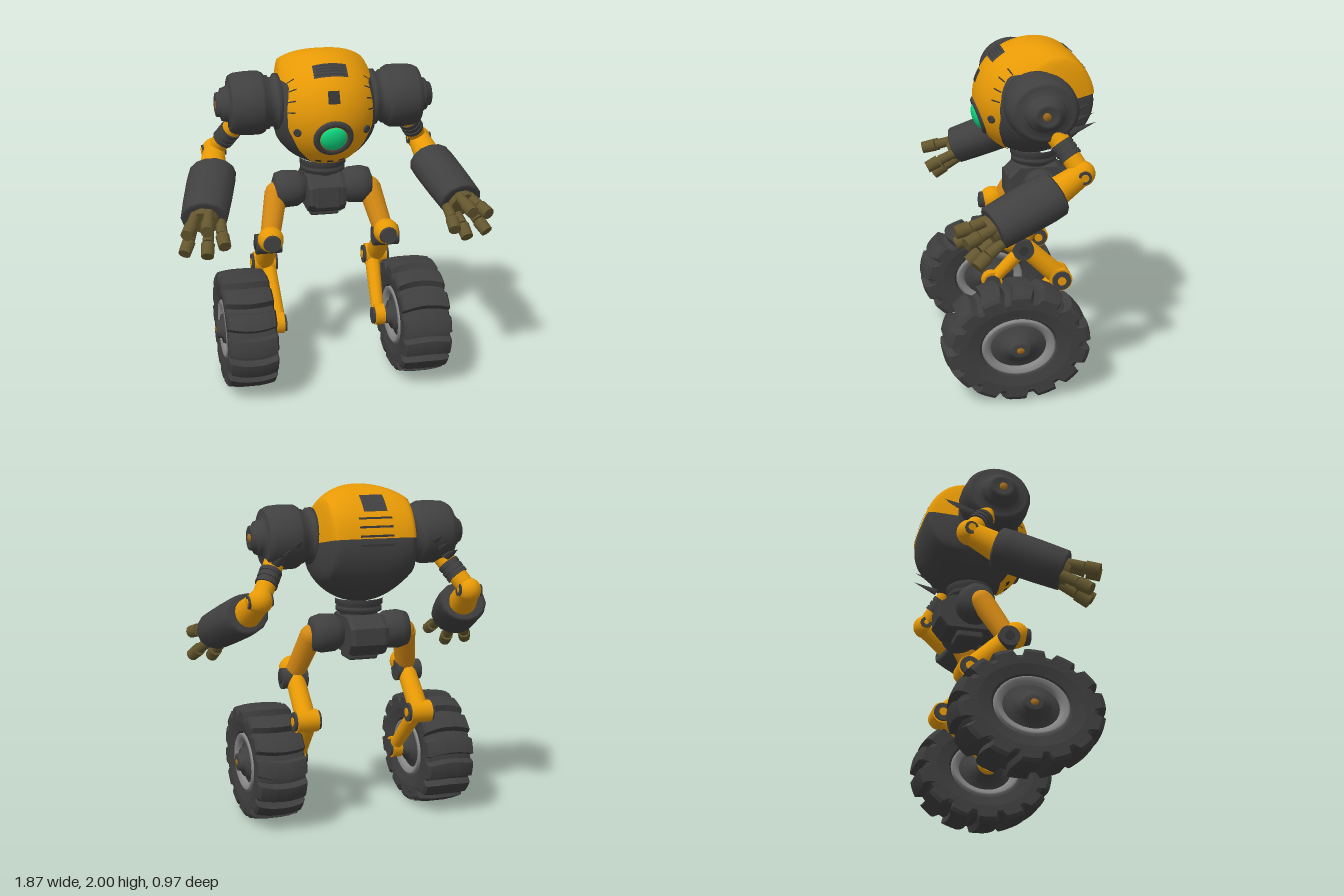
import * as THREE from 'three';
import { RoundedBoxGeometry } from 'three/addons/geometries/RoundedBoxGeometry.js';

const paint = (name, color, side = THREE.FrontSide) =>
  Object.assign(new THREE.MeshStandardMaterial({ color, side }), { name });
const yellow = paint('yellow paint', 0xe89a06, THREE.DoubleSide);
const orange = paint('worn orange', 0xd68a14);
const dark = paint('dark metal', 0x404041);
const black = paint('black trim', 0x353536, THREE.DoubleSide);
const rubber = paint('rubber', 0x3e3e3e);
const steel = paint('steel', 0x858585);
const olive = paint('olive metal', 0x64572f);
const green = paint('green lens', 0x10d880);
const bronze = paint('bronze', 0xa56c1c);

const UP = new THREE.Vector3(0, 1, 0);
const V = (x, y, z) => new THREE.Vector3(x, y, z);

function add(parent, name, geo, mat, pos) {
  const mesh = new THREE.Mesh(geo, mat);
  mesh.name = name;
  if (pos) mesh.position.copy(pos);
  parent.add(mesh);
  return mesh;
}

// Tapered cylinder between two points
function rod(parent, name, a, b, r1, r2, mat, sides = 20) {
  const d = b.clone().sub(a);
  const mesh = add(parent, name, new THREE.CylinderGeometry(r2, r1, d.length(), sides), mat, a.clone().lerp(b, 0.5));
  mesh.quaternion.setFromUnitVectors(UP, d.normalize());
}

// Turned part: profile of [radius, distance along axis] starting at a point
function turned(parent, name, profile, mat, pos, dir, sides = 32) {
  const geo = new THREE.LatheGeometry(profile.map(p => new THREE.Vector2(...p)), sides);
  const mesh = add(parent, name, geo, mat, pos);
  mesh.quaternion.setFromUnitVectors(UP, dir.clone().normalize());
  return mesh;
}

// Point on the body: t turns about the x axis (0 front, PI/2 top), squarer at the back, with conical ends
function bodyPoint(t, x, lift) {
  const n = 2 + 3 * Math.max(0, Math.cos((t - 2.8) * 0.8)) ** 4;
  const round = 0.338 * Math.max(0, 1 - Math.abs(x / 0.33) ** n) ** (1 / n);
  const r = Math.min(round, Math.max(0, (0.325 - Math.abs(x)) * 4)) + lift;
  return V(x, 1.655 + r * Math.sin(t), -0.14 + r * Math.cos(t));
}

// Curved panel following the body; limits(t) gives [xMin, xMax]
function panel(parent, name, t0, t1, limits, lift, mat, nt = 4, nx = 8) {
  const pos = [], idx = [];
  for (let i = 0; i <= nt; i++) {
    const t = t0 + (t1 - t0) * i / nt, [x0, x1] = limits(t);
    for (let j = 0; j <= nx; j++) {
      const u = Math.sin((j / nx - 0.5) * Math.PI);
      pos.push(...bodyPoint(t, (x0 + x1) / 2 + u * (x1 - x0) / 2, lift).toArray());
      if (i < nt && j < nx) {
        const a = i * (nx + 1) + j, b = a + nx + 1;
        idx.push(a, a + 1, b, a + 1, b + 1, b);
      }
    }
  }
  const geo = new THREE.BufferGeometry();
  geo.setAttribute('position', new THREE.Float32BufferAttribute(pos, 3));
  geo.setIndex(idx);
  geo.computeVertexNormals();
  add(parent, name, geo, mat);
}

const shellEdge = [[-1.1, 0.1], [-0.75, 0.19], [-0.3, 0.25], [0.2, 0.255], [0.8, 0.235], [1.3, 0.28], [1.8, 0.31], [2.96, 0.31]];
function shellWidth(t) {
  let i = 1;
  while (i < shellEdge.length - 1 && t > shellEdge[i][0]) i++;
  const [a, wa] = shellEdge[i - 1], [b, wb] = shellEdge[i];
  return wa + (wb - wa) * (t - a) / (b - a);
}

function makeBody() {
  const body = new THREE.Group();
  body.name = 'body';
  panel(body, 'hull', -1.2, 2 * Math.PI - 1.2, () => [-0.33, 0.33], 0, dark, 64, 40);
  panel(body, 'shell', -1.1, 2.96, t => [-shellWidth(t), shellWidth(t)], 0.008, yellow, 48, 40);
  const strip = (name, t, h, x0, x1, mat = black, lift = 0.013) =>
    panel(body, name, t - h / 2, t + h / 2, () => [x0, x1], lift, mat);
  // Vents, hatch and small slots
  strip('frontVent', 0.9, 0.28, -0.1, 0.1, dark);
  for (let i = 0; i < 4; i++) strip('ventSlot', 0.81 + i * 0.06, 0.025, -0.085, 0.085, black, 0.016);
  strip('frontSlot', 0.4, 0.22, -0.034, 0.034);
  strip('topHatch', 2.32, 0.36, -0.08, 0.06, dark);
  for (let i = 0; i < 4; i++) strip('backSlot', 2.62 + i * 0.15, 0.035, -0.1, 0.1);
  for (const x of [-0.07, 0, 0.07]) strip('chinSlot', -0.93, 0.08, x - 0.018, x + 0.018);
  for (const s of [-1, 1]) {
    for (const t of [0.15, 0.4, 0.65, 0.9]) {
      const w = shellWidth(t);
      strip('edgeNotch', t, 0.03, s * w - (s > 0 ? 0.04 : 0), s * w + (s > 0 ? 0 : 0.04));
    }
    const p = bodyPoint(-0.28, s * 0.2, 0.004);
    turned(body, 'bolt', [[0.024, 0], [0.024, 0.014], [0.012, 0.014], [0, 0.01]], dark, p, p.clone().sub(V(0, 1.655, -0.14)), 12);
  }
  // Eye
  const dir = V(0, -0.33, 0.94), eye = bodyPoint(-0.34, 0, -0.03);
  turned(body, 'eyeRing', [[0.123, -0.03], [0.118, 0.022], [0.105, 0.034], [0.085, 0.034], [0.077, 0.02], [0, 0.02]], dark, eye, dir);
  const lens = add(body, 'eyeLens', new THREE.SphereGeometry(0.08, 28, 10, 0, 2 * Math.PI, 0, Math.PI / 2), green, eye.clone().addScaledVector(dir, 0.021));
  lens.quaternion.setFromUnitVectors(UP, dir.clone().normalize());
  lens.scale.y = 0.5;
  return body;
}

function makePelvis() {
  const g = new THREE.Group();
  g.name = 'pelvis';
  turned(g, 'neck', [[0.11, 0], [0.11, 0.04], [0.135, 0.045], [0.135, 0.07], [0.12, 0.075], [0.14, 0.085], [0.14, 0.12]], dark, V(0, 1.22, -0.16), UP);
  // Bevelled block, outlined from the side
  const pts = [[-0.36, 1.09], [-0.31, 1.03], [-0.05, 1.03], [0, 1.08], [0, 1.18], [-0.06, 1.24], [-0.28, 1.24], [-0.36, 1.18]];
  const geo = new THREE.ExtrudeGeometry(new THREE.Shape(pts.map(p => new THREE.Vector2(-p[0], p[1]))), { depth: 0.18, bevelSize: 0.01, bevelThickness: 0.025, bevelSegments: 1 });
  geo.translate(0, 0, -0.09).rotateY(Math.PI / 2);
  add(g, 'pelvisBlock', geo, dark);
  add(g, 'pelvisFoot', new RoundedBoxGeometry(0.18, 0.07, 0.16, 2, 0.015), dark, V(0, 1.015, -0.17));
  add(g, 'pelvisPlate', new RoundedBoxGeometry(0.15, 0.14, 0.03, 2, 0.01), dark, V(0, 1.13, 0.005));
  return g;
}

function makeArm(s) {
  const g = new THREE.Group(), out = V(s, 0, 0), P = (x, y, z) => V(s * x, y, z);
  g.name = s > 0 ? 'leftArm' : 'rightArm';
  // Shoulder drum with stepped cap
  turned(g, 'shoulder', [[0.14, 0], [0.165, 0.01], [0.165, 0.035], [0.145, 0.04], [0.145, 0.07], [0.158, 0.075], [0.158, 0.095], [0.172, 0.1],
    [0.185, 0.125], [0.187, 0.19], [0.18, 0.27], [0.165, 0.3], [0.15, 0.305], [0.11, 0.307], [0.1, 0.33], [0.095, 0.35], [0.075, 0.352], [0.07, 0.38], [0.05, 0.385], [0.045, 0.375], [0, 0.375]],
    dark, P(0.265, 1.705, -0.115), out, 36).scale.z = 1.1;
  turned(g, 'shoulderPin', [[0.023, 0], [0.023, 0.015], [0, 0.017]], bronze, P(0.635, 1.705, -0.108), out, 12);
  for (let i = 0; i < 3; i++) {
    const fin = add(g, 'shoulderFin', new THREE.ConeGeometry(0.04, 0.16, 4), dark, P(0.42 + 0.05 * i, 1.68 - 0.04 * i, -0.335));
    fin.rotation.x = -Math.PI / 2 + 0.35;
    fin.scale.z = 0.6;
  }
  // Upper arm
  const a = P(0.51, 1.58, -0.17), b = P(0.64, 1.37, -0.31);
  rod(g, 'upperArm', a, b, 0.06, 0.055, yellow);
  rod(g, 'armSleeve', a.clone().lerp(b, 0.27), a.clone().lerp(b, 0.62), 0.06, 0.06, dark);
  for (let i = 0; i < 3; i++) rod(g, 'armBand', a.clone().lerp(b, 0.27 + i * 0.13), a.clone().lerp(b, 0.36 + i * 0.13), 0.066, 0.066, dark);
  add(g, 'elbow', new THREE.SphereGeometry(0.073, 20, 14), yellow, b);
  rod(g, 'elbowPin', P(0.57, 1.375, -0.31), P(0.712, 1.365, -0.31), 0.038, 0.038, dark);
  rod(g, 'elbowBolt', P(0.64, 1.37, -0.31), P(0.718, 1.365, -0.31), 0.022, 0.022, yellow, 12);
  const c = P(0.672, 1.275, -0.15), e = P(0.768, 1.125, 0.215);
  rod(g, 'elbowLink', b, c, 0.065, 0.085, yellow);
  // Forearm and hand share one axis
  const d = e.clone().sub(c), len = d.length();
  turned(g, 'forearm', [[0, -0.01], [0.105, -0.01], [0.12, 0.005], [0.124, 0.08], [0.122, 0.25], [0.117, len - 0.01], [0.1, len], [0, len - 0.01]], dark, c, d, 14).scale.x = 1.2;
  const hand = new THREE.Group();
  hand.name = 'hand';
  hand.position.copy(e);
  hand.quaternion.setFromUnitVectors(UP, d.normalize());
  g.add(hand);
  rod(hand, 'palm', V(0, -0.02, 0.01), V(0, 0.03, 0.01), 0.09, 0.08, olive, 12);
  for (const [x, z] of [[-0.1, 0.06], [0, 0.1], [0.1, 0.06], [-0.05, -0.045], [0.05, -0.045]]) {
    const p = V(x * 0.85, 0, z * 0.8), k = V(x, 0.1, z), tip = V(x * 1.22, 0.19, z * 1.25);
    rod(hand, 'fingerBase', p, k, 0.03, 0.033, olive, 10);
    rod(hand, 'fingerTip', k.clone().lerp(tip, 0.1), tip, 0.04, 0.037, olive, 10);
  }
  return g;
}

function makeLeg(s) {
  const g = new THREE.Group(), out = V(s, 0, 0), P = (x, y, z) => V(s * x, y, z);
  g.name = s > 0 ? 'leftLeg' : 'rightLeg';
  turned(g, 'hip', [[0.06, 0], [0.085, 0.02], [0.11, 0.06], [0.115, 0.14], [0.1, 0.19], [0.06, 0.205], [0, 0.205]], dark, P(0.1, 1.14, -0.17), out);
  const hip = P(0.29, 1.125, -0.15), knee = P(0.355, 0.87, -0.01), ankle = P(0.355, 0.64, -0.25), axle = P(0.31, 0.35, 0.045);
  add(g, 'hipJoint', new THREE.SphereGeometry(0.066, 18, 12), orange, hip);
  rod(g, 'thigh', hip, knee, 0.07, 0.06, orange, 12);
  // Knee
  add(g, 'kneeBall', new THREE.SphereGeometry(0.078, 20, 14), yellow, knee.clone().add(V(0, 0.025, 0.045)));
  rod(g, 'kneeCap', P(0.355, 0.89, 0.08), P(0.355, 0.892, 0.118), 0.056, 0.048, dark);
  rod(g, 'kneePin', P(0.285, 0.85, -0.02), P(0.44, 0.85, -0.02), 0.062, 0.062, dark);
  rod(g, 'kneeBolt', P(0.43, 0.85, -0.02), P(0.448, 0.85, -0.02), 0.028, 0.028, black, 12);
  rod(g, 'shin', knee, ankle, 0.056, 0.06, yellow);
  // Ankle and wheel strut
  rod(g, 'ankle', P(0.29, 0.64, -0.25), P(0.42, 0.64, -0.25), 0.066, 0.066, yellow);
  rod(g, 'ankleRing', P(0.275, 0.64, -0.25), P(0.435, 0.64, -0.25), 0.056, 0.056, dark);
  rod(g, 'ankleBolt', P(0.27, 0.64, -0.25), P(0.44, 0.64, -0.25), 0.026, 0.026, yellow, 12);
  rod(g, 'strut', P(0.335, 0.64, -0.25), axle, 0.048, 0.038, yellow, 10);
  rod(g, 'strutEnd', P(0.285, 0.35, 0.045), P(0.345, 0.35, 0.045), 0.065, 0.065, yellow);
  rod(g, 'axle', P(0.27, 0.345, 0.045), P(0.45, 0.345, 0.045), 0.052, 0.052, dark);
  return g;
}

function makeWheel(s) {
  const g = new THREE.Group(), N = 14, out = V(s, 0, 0), O = V(0, 0, 0);
  g.name = s > 0 ? 'leftWheel' : 'rightWheel';
  // Tyre with raised lugs, swept back towards the edges
  const profile = [[0.163, -0.1], [0.18, -0.13], [0.24, -0.145], [0.285, -0.147], [0.305, -0.135], [0.313, -0.09], [0.317, -0.045], [0.317, 0]];
  const full = [...profile, ...profile.slice(0, -1).reverse().map(([r, y]) => [r, -y])];
  const tyre = turned(g, 'tyre', full, rubber, O, out, N * 10);
  const p = tyre.geometry.attributes.position;
  for (let i = 0; i < p.count; i++) {
    const x = p.getX(i), y = p.getY(i), z = p.getZ(i), r = Math.hypot(x, z), a = Math.atan2(x, z);
    const t = (a / (2 * Math.PI) * N + N + 0.03) % 1, sweep = a + 3 * y * y;
    const h = r < 0.28 ? r : r + (t < 0.68 ? 0.024 : -0.012);
    p.setXYZ(i, h * Math.sin(sweep), y, h * Math.cos(sweep));
  }
  tyre.geometry = tyre.geometry.toNonIndexed();
  tyre.geometry.computeVertexNormals();
  // Rims and stepped hubs on both faces
  for (const k of [-1, 1]) {
    const dir = V(k, 0, 0);
    turned(g, 'rim', [[0.17, 0.1], [0.168, 0.134], [0.158, 0.14], [0.148, 0.128], [0.134, 0.128], [0.126, 0.1]], steel, O, dir, 40);
    turned(g, 'hub', [[0.135, 0.09], [0.135, 0.105], [0.088, 0.11], [0.084, 0.138], [0.055, 0.14], [0.05, 0.172], [0.035, 0.176], [0, 0.176]], dark, O, dir);
  }
  turned(g, 'hubPin', [[0.018, 0.17], [0.018, 0.18], [0, 0.182]], bronze, O, out, 12);
  g.position.set(s * 0.525, 0.342, 0.045);
  g.scale.z = 1.27;
  return g;
}

export function createModel() {
  const model = new THREE.Group();
  model.name = 'wheeledRobot';
  model.add(makeBody(), makePelvis());
  for (const s of [1, -1]) model.add(makeArm(s), makeLeg(s), makeWheel(s));
  return model;
}
